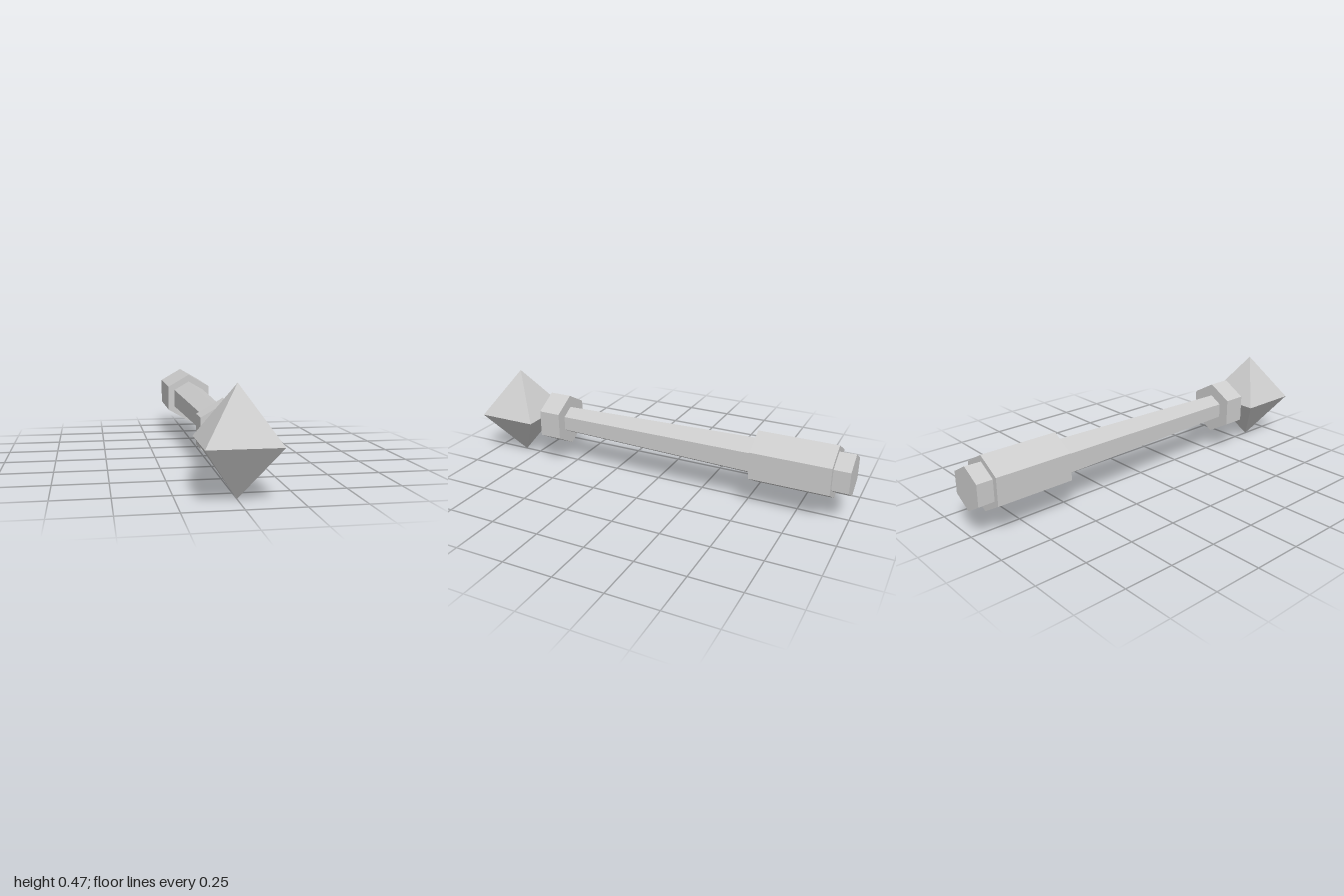
import * as THREE from 'three';

const AXIS_Y = 0.236;

export function createModel() {
  const group = new THREE.Group();
  const grey = new THREE.MeshStandardMaterial({ color: 0xcccccc, flatShading: true });
  grey.name = 'light grey';

  const add = (name, geometry, z) => {
    const mesh = new THREE.Mesh(geometry, grey);
    mesh.name = name;
    mesh.position.set(0, AXIS_Y, z);
    group.add(mesh);
  };

  // Six-sided bar along z, with a corner pointing straight up
  const hexBar = (name, frontZ, backZ, frontRadius, backRadius = frontRadius) => {
    const bar = new THREE.CylinderGeometry(frontRadius, backRadius, frontZ - backZ, 6);
    bar.rotateX(Math.PI / 2);
    add(name, bar, (frontZ + backZ) / 2);
  };

  // Tapered handle, widening towards the pommel at the back
  hexBar('shaft', 0.6, -1, 0.071, 0.107);
  hexBar('collar', 0.646, 0.53, 0.136);
  hexBar('grip', -0.53, -0.92, 0.136);

  // Floating double pyramid on a square waist
  const crystal = new THREE.OctahedronGeometry(1);
  crystal.rotateY(Math.PI / 4);
  crystal.scale(0.157 * Math.SQRT2, AXIS_Y, 0.157 * Math.SQRT2);
  add('crystal', crystal, 0.843);

  return group;
}
